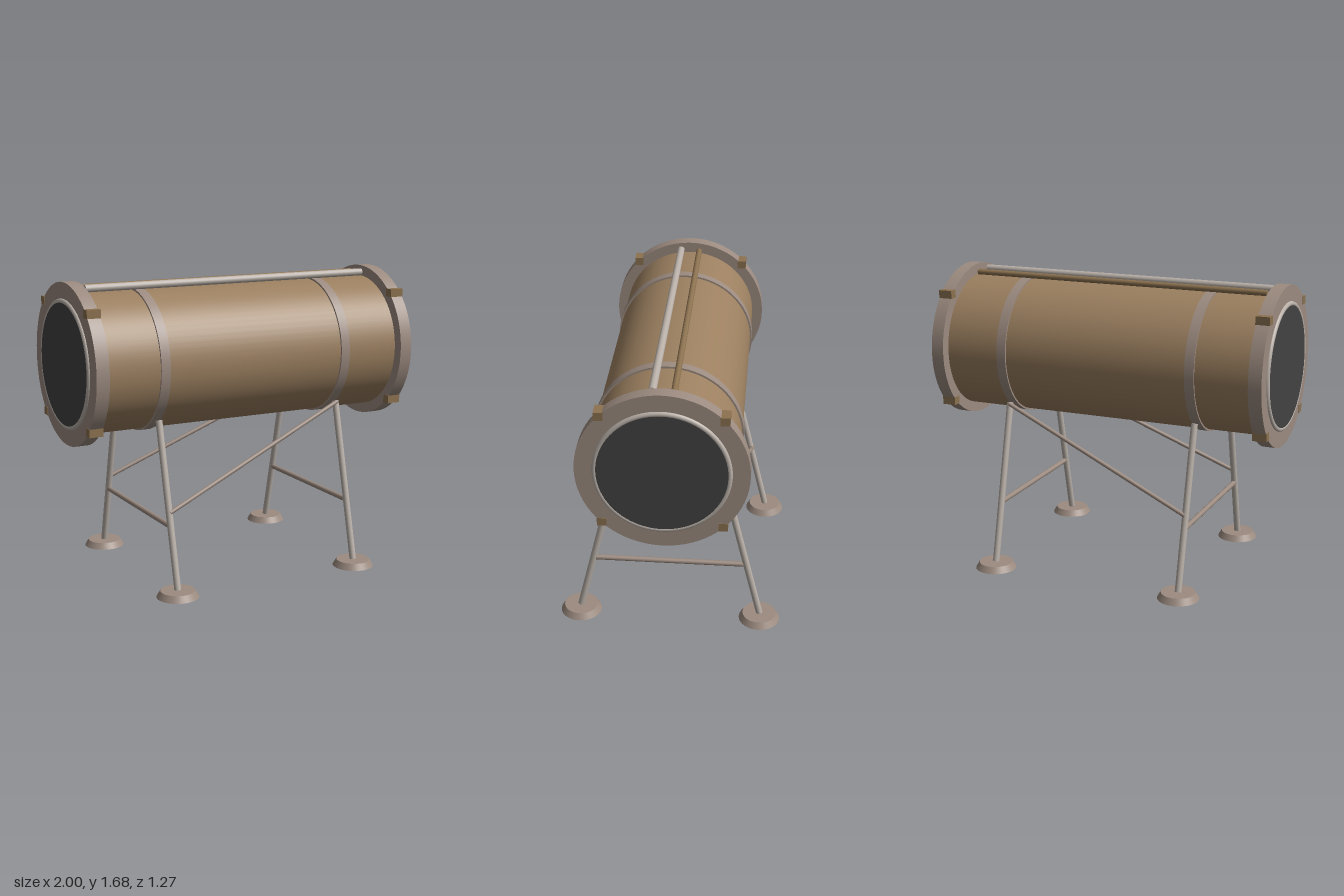
import * as THREE from 'three';

const mat = (name, color) => {
  const m = new THREE.MeshStandardMaterial({ color });
  m.name = name;
  return m;
};

export function createModel() {
  const model = new THREE.Group();
  model.name = 'drumOnStand';
  const brown = mat('barrelBrown', 0x9c8060);
  const taupe = mat('taupeMetal', 0x9c8b80);
  const pale = mat('paleMetal', 0xb9b0a8);
  const tan = mat('clampTan', 0x8c7250);
  const dark = mat('darkGlass', 0x424242);
  const AXIS = 1.235; // height of the barrel axis

  const add = (name, geo, material, x = 0, y = 0, z = 0) => {
    const mesh = new THREE.Mesh(geo, material);
    mesh.name = name;
    mesh.position.set(x, y, z);
    model.add(mesh);
    return mesh;
  };
  // cylinder lying along x, centred on the barrel axis
  const drum = (name, r, length, x, material) =>
    add(name, new THREE.CylinderGeometry(r, r, length, 72).rotateZ(Math.PI / 2), material, x, AXIS, 0);
  // round rod between two points
  const rod = (name, a, b, r, material) => {
    const from = new THREE.Vector3(...a), to = new THREE.Vector3(...b);
    const dir = to.clone().sub(from);
    const mesh = add(name, new THREE.CylinderGeometry(r, r, dir.length(), 16), material);
    mesh.position.copy(from).add(to).multiplyScalar(0.5);
    mesh.quaternion.setFromUnitVectors(new THREE.Vector3(0, 1, 0), dir.normalize());
  };

  // barrel and the two rails on top
  drum('barrel', 0.39, 1.9, 0, brown);
  rod('paleRail', [-0.885, 1.65, 0.055], [0.885, 1.65, 0.055], 0.021, pale);
  rod('tanRail', [-0.885, 1.645, -0.055], [0.885, 1.645, -0.055], 0.017, tan);

  for (const sx of [-1, 1]) {
    // end flange, rim and dark end disc
    drum('flange', 0.45, 0.074, sx * 0.95, taupe);
    add('endRim', new THREE.TorusGeometry(0.345, 0.015, 12, 72).rotateY(Math.PI / 2), pale, sx * 0.985, AXIS, 0);
    drum('endDisc', 0.346, 0.03, sx * 0.983, dark);

    // clamps around the flange
    for (const sy of [-1, 1]) for (const sz of [-1, 1]) {
      add('clamp', new THREE.BoxGeometry(0.08, 0.046, 0.05), tan, sx * 0.95, AXIS + sy * 0.316, sz * 0.316);
    }

    // strap, legs, feet and crossbar
    const x = sx * 0.567;
    drum('strap', 0.4, 0.055, x, taupe);
    for (const sz of [-1, 1]) {
      rod('leg', [x, 0.036, sz * 0.517], [x, 0.94, sz * 0.297], 0.019, pale);
      add('foot', new THREE.CylinderGeometry(0.096, 0.117, 0.036, 40), taupe, x, 0.018, sz * 0.517);
    }
    rod('crossbar', [x, 0.375, -0.42], [x, 0.375, 0.42], 0.015, taupe);
  }

  // diagonal brace on each side
  for (const sz of [-1, 1]) {
    rod('diagonalBrace', [-0.567, 0.45, sz * 0.428], [0.567, 0.935, sz * 0.312], 0.012, taupe);
  }
  return model;
}
